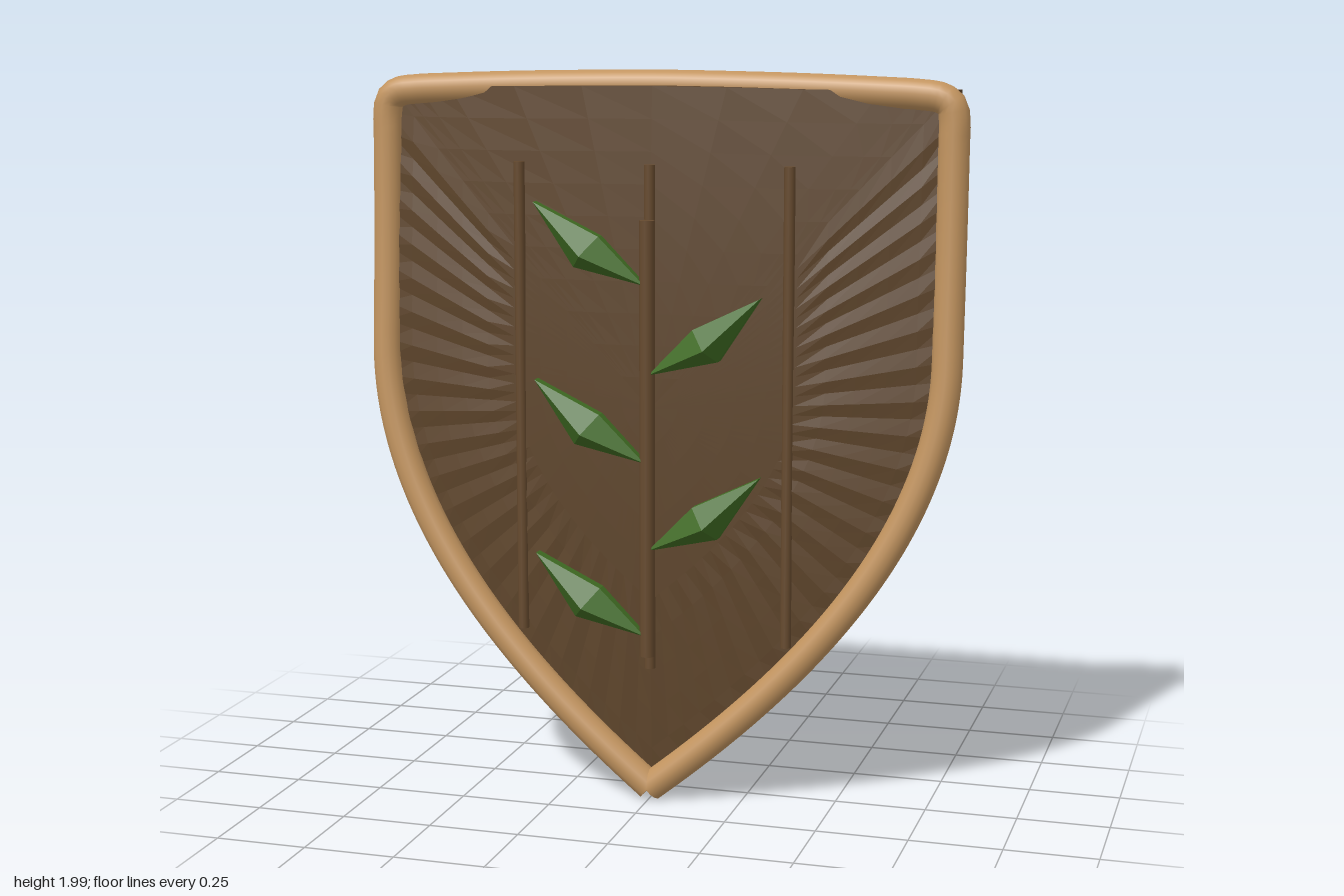
import * as THREE from 'three';

// Half outline: top centre -> corner -> side -> tip
function halfOutline() {
  const pts = [[0, 1.96], [0.2, 1.958], [0.4, 1.954], [0.6, 1.947], [0.7, 1.942],
    [0.755, 1.934], [0.782, 1.914]];
  for (let i = 0; i <= 12; i++) pts.push([0.79, 1.875 - (0.625 * i) / 12]);
  const lower = new THREE.CubicBezierCurve(
    new THREE.Vector2(0.79, 1.25), new THREE.Vector2(0.79, 0.8),
    new THREE.Vector2(0.45, 0.4), new THREE.Vector2(0, 0.04));
  for (const p of lower.getPoints(26).slice(1)) pts.push([p.x, p.y]);
  return pts;
}

// Front surface of the bowed board: flat along the middle, swept back at the corners
function bow(x, y) {
  const across = (Math.abs(x) / 0.79) ** 1.6, along = (y - 1) ** 2;
  return 0.115 - 0.028 * along - across * (0.076 + 0.038 * along);
}

function boardGeometry(half) {
  // square the top corners, then mirror into a closed loop
  const edge = half.map(([x, y]) => (x > 0.5 && y > 1.9 ? [x > 0.77 ? 0.79 : x, 1.952] : [x, y]));
  const loop = [...edge.map(([x, y]) => [-x, y]), ...edge.slice(1, -1).reverse()];
  const n = loop.length, rings = 10, thick = 0.09, cy = 1.1;
  const pos = [], idx = [];
  for (let side = 0; side < 2; side++) {
    for (let r = 0; r <= rings; r++) {
      loop.forEach(([px, py], i) => {
        const t = r / rings, x = px * t, y = cy + (py - cy) * t;
        // shallow radial flutes towards the sides
        const flute = t < 1 && t > 0.5 && py < 1.9 ? (i % 2 ? 0.0025 : -0.0025) : 0;
        pos.push(x, y, bow(x, y) - side * thick + flute);
      });
    }
  }
  const layer = (rings + 1) * n;
  for (let i = 0; i < n; i++) {
    const j = (i + 1) % n;
    for (let r = 0; r < rings; r++) {
      const a = r * n + i, b = r * n + j, c = a + n, d = b + n;
      idx.push(a, c, d);
      if (r > 0) idx.push(a, d, b);
      idx.push(layer + a, layer + d, layer + c);
      if (r > 0) idx.push(layer + a, layer + b, layer + d);
    }
    const e = rings * n + i, f = rings * n + j;
    idx.push(e, layer + e, layer + f, e, layer + f, f);
  }
  const g = new THREE.BufferGeometry();
  g.setAttribute('position', new THREE.Float32BufferAttribute(pos, 3));
  g.setIndex(idx);
  const flat = g.toNonIndexed();
  flat.computeVertexNormals();
  return flat;
}

// Tube with closed ends
function cappedTube(name, curve, segments, radius, material) {
  const group = new THREE.Group();
  group.name = name;
  group.add(new THREE.Mesh(new THREE.TubeGeometry(curve, segments, radius, 14), material));
  for (const t of [0, 1]) {
    const cap = new THREE.Mesh(new THREE.CircleGeometry(radius, 14), material);
    const dir = curve.getTangent(t).multiplyScalar(t ? 1 : -1);
    cap.position.copy(curve.getPoint(t));
    cap.quaternion.setFromUnitVectors(new THREE.Vector3(0, 0, 1), dir);
    group.add(cap);
  }
  group.children.forEach((m) => { m.name = name + 'Part'; });
  return group;
}

// Faceted leaf: a four-cornered outline with a raised front, pointing to side s
function leafGeometry(s) {
  const ring = [[0.005, -0.003, 0.148], [0.2, 0.042, 0.157], [0.313, 0.213, 0.157], [0.13, 0.125, 0.157]]
    .map(([x, y, z]) => [s * x, y, z]);
  if (s < 0) ring.reverse();
  const peak = [s * 0.17, 0.075, 0.202], back = ring.map(([x, y]) => [x, y, 0.125]);
  const corners = [];
  ring.forEach((a, i) => {
    const j = (i + 1) % 4, b = ring[j];
    corners.push(a, b, peak, a, back[i], back[j], a, back[j], b);
  });
  // split along the short diagonal between the two middle corners
  const k = s > 0 ? 1 : 0;
  corners.push(back[k], back[(k + 3) % 4], back[(k + 2) % 4], back[k], back[(k + 2) % 4], back[k + 1]);
  const g = new THREE.BufferGeometry();
  g.setAttribute('position', new THREE.Float32BufferAttribute(corners.flat(), 3));
  g.computeVertexNormals();
  return g;
}

export function createModel() {
  const mat = (name, color) => {
    const m = new THREE.MeshStandardMaterial({ color });
    m.name = name;
    return m;
  };
  const wood = mat('dark wood', 0x5e452b);
  const branch = mat('branch wood', 0x664a2e);
  const paleWood = mat('pale wood', 0xc2945f);
  const green = mat('leaf green', 0x3f6b22);

  const model = new THREE.Group();
  model.name = 'shield';
  const add = (name, geometry, material, x = 0, y = 0, z = 0) => {
    const mesh = new THREE.Mesh(geometry, material);
    mesh.name = name;
    mesh.position.set(x, y, z);
    model.add(mesh);
  };

  // Board
  const half = halfOutline();
  add('board', boardGeometry(half), wood);

  // Rim: leans forward towards the tip
  const rimZ = (y) => 0.055 + 0.055 * Math.cos((Math.PI * Math.min(y, 1.96)) / 1.96);
  const path = [...half.slice(1).reverse().map(([x, y]) => [-x, y]), ...half]
    .map(([x, y]) => new THREE.Vector3(x, y, rimZ(y)));
  model.add(cappedTube('rim', new THREE.CatmullRomCurve3(path), 300, 0.041, paleWood));

  // Upright ribs and the central stem
  const rod = (name, x, y0, y1, z, r) =>
    add(name, new THREE.CylinderGeometry(r, r, y1 - y0, 10), branch, x, (y0 + y1) / 2, z);
  rod('leftRib', 0.375, 0.46, 1.755, 0.088, 0.015);
  rod('rightRib', -0.375, 0.46, 1.755, 0.088, 0.015);
  rod('centreRib', 0, 0.38, 1.755, 0.113, 0.015);
  rod('stem', 0, 0.42, 1.61, 0.137, 0.021);

  // Leaves alternate along the stem
  for (let i = 0; i < 5; i++) {
    add('leaf' + (i + 1), leafGeometry(i % 2 ? 1 : -1), green, 0, 1.44 - i * 0.24, 0);
  }

  // Arm strap and hand grip: arcs behind the board
  const arc = (name, y, halfWidth, zEnd, zPeak, r) => {
    const sag = zEnd - zPeak, R = (halfWidth ** 2 + sag ** 2) / (2 * sag);
    const spread = Math.asin(halfWidth / R), pts = [];
    for (let i = 0; i <= 12; i++) {
      const a = spread * (i / 6 - 1);
      pts.push(new THREE.Vector3(R * Math.sin(a), y, zPeak + R - R * Math.cos(a)));
    }
    model.add(cappedTube(name, new THREE.CatmullRomCurve3(pts), 30, r, branch));
  };
  arc('armStrap', 0.93, 0.315, -0.06, -0.174, 0.037);
  arc('handGrip', 1.34, 0.1, -0.055, -0.14, 0.031);

  return model;
}
